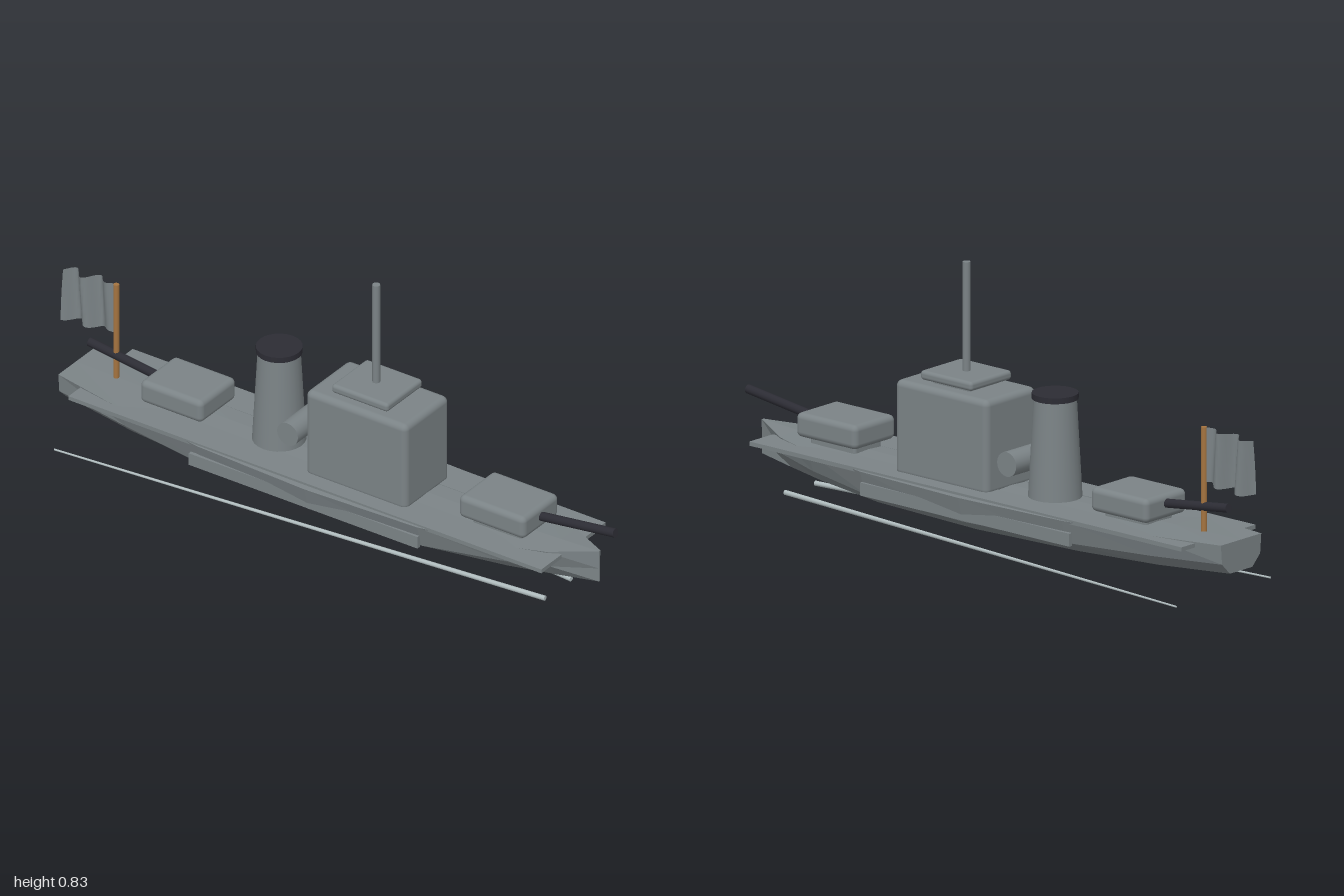
import * as THREE from 'three';
import { RoundedBoxGeometry } from 'three/addons/geometries/RoundedBoxGeometry.js';

const grey = new THREE.MeshStandardMaterial({ name: 'hullGrey', color: 0x7b8386 });
const black = new THREE.MeshStandardMaterial({ name: 'gunBlack', color: 0x2c2c34 });
const wood = new THREE.MeshStandardMaterial({ name: 'poleWood', color: 0xa57440 });
const foam = new THREE.MeshStandardMaterial({ name: 'wakeFoam', color: 0xb0bcbe });
const cloth = new THREE.MeshStandardMaterial({ name: 'flagCloth', color: 0x7b8386, side: THREE.DoubleSide });

function add(parent, name, geometry, material, x = 0, y = 0, z = 0) {
  const mesh = new THREE.Mesh(geometry, material);
  mesh.name = name;
  mesh.position.set(x, y, z);
  parent.add(mesh);
  return mesh;
}

// Cylinder between two points, radius r0 at the start and r1 at the end
function addRod(parent, name, from, to, r0, r1, material, sides = 12) {
  const a = new THREE.Vector3(...from), b = new THREE.Vector3(...to);
  const mesh = add(parent, name, new THREE.CylinderGeometry(r1, r0, a.distanceTo(b), sides), material);
  mesh.position.copy(a).add(b).multiplyScalar(0.5);
  mesh.quaternion.setFromUnitVectors(new THREE.Vector3(0, 1, 0), b.sub(a).normalize());
  return mesh;
}

// Rounded box given by its limits
function addBlock(parent, name, [x0, x1], [y0, y1], halfZ, radius) {
  const g = new RoundedBoxGeometry(x1 - x0, y1 - y0, halfZ * 2, 3, radius);
  return add(parent, name, g, grey, (x0 + x1) / 2, (y0 + y1) / 2, 0);
}

// Faceted hull lofted from stern to bow
function hullGeometry() {
  // x, deck half width, deck edge y, deck centre y, chine half width, chine y, bottom half width, bottom y
  const stations = [
    [-0.96, 0.09, 0.185, 0.185, 0.085, 0.125, 0.05, 0.09],
    [-0.7, 0.135, 0.178, 0.182, 0.115, 0.11, 0.08, 0.075],
    [-0.4, 0.17, 0.172, 0.18, 0.15, 0.1, 0.095, 0.063],
    [0, 0.185, 0.17, 0.18, 0.165, 0.093, 0.1, 0.055],
    [0.4, 0.172, 0.172, 0.18, 0.15, 0.098, 0.09, 0.06],
    [0.65, 0.125, 0.176, 0.183, 0.1, 0.11, 0.06, 0.072],
    [0.8, 0.08, 0.182, 0.187, 0.06, 0.122, 0.03, 0.08],
    [0.94, 0.004, 0.195, 0.195, 0.003, 0.135, 0.003, 0.09],
  ];
  const rings = stations.map(([x, dw, dy, cy, cw, chy, bw, by]) => [
    [x, dy, dw], [x, chy, cw], [x, by, bw], [x, by, -bw], [x, chy, -cw], [x, dy, -dw], [x, cy, 0],
  ]);
  const n = 7, pos = [];
  for (let i = 0; i < rings.length - 1; i++) {
    for (let j = 0; j < n; j++) {
      const k = (j + 1) % n;
      const a = rings[i][j], b = rings[i][k], c = rings[i + 1][k], d = rings[i + 1][j];
      pos.push(...a, ...b, ...c, ...a, ...c, ...d);
    }
  }
  // Transom and stem caps
  const stern = rings[0], bow = rings[rings.length - 1];
  for (let j = 1; j < n - 1; j++) {
    pos.push(...stern[0], ...stern[j + 1], ...stern[j]);
    pos.push(...bow[0], ...bow[j], ...bow[j + 1]);
  }
  const g = new THREE.BufferGeometry();
  g.setAttribute('position', new THREE.Float32BufferAttribute(pos, 3));
  g.computeVertexNormals();
  return g;
}

// Turret facing dir (+1 bow, -1 stern), with a narrower base and a raised gun
function addTurret(parent, name, limits, top, dir, muzzle) {
  const turret = new THREE.Group();
  turret.name = name;
  addBlock(turret, 'turretHouse', limits, [top - 0.075, top], 0.092, 0.018);
  addBlock(turret, 'turretBase', [limits[0] + 0.03, limits[1] - 0.03], [0.165, top - 0.05], 0.06, 0.01);
  const face = dir > 0 ? limits[1] : limits[0];
  addRod(turret, 'gunBarrel', [face - dir * 0.04, 0.236, 0], muzzle, 0.014, 0.014, black);
  parent.add(turret);
}

export function createModel() {
  const ship = new THREE.Group();
  ship.name = 'gunboat';

  add(ship, 'hull', hullGeometry(), grey);

  // Paired parts along both sides
  for (const s of [1, -1]) {
    add(ship, 'sideDeck', new THREE.BoxGeometry(1.715, 0.013, 0.105), grey, -0.0125, 0.172, s * 0.1125);
    add(ship, 'fender', new THREE.BoxGeometry(0.83, 0.04, 0.012), grey, -0.015, 0.118, s * 0.165);
    addRod(ship, 'wakeLine', [0.79, 0.011, s * 0.067], [-0.89, 0.009, s * 0.21], 0.008, 0.003, foam, 8);
  }

  // Bridge, lookout platform and mast
  addBlock(ship, 'bridge', [-0.05, 0.317], [0.165, 0.46], 0.113, 0.02);
  addBlock(ship, 'platformNeck', [0.06, 0.205], [0.45, 0.48], 0.066, 0.005);
  addBlock(ship, 'platform', [0.03, 0.235], [0.47, 0.499], 0.092, 0.011);
  addRod(ship, 'mast', [0.13, 0.49, 0], [0.13, 0.835, 0], 0.012, 0.012, grey);

  // Funnel and the drum between funnel and bridge
  add(ship, 'funnel', new THREE.CylinderGeometry(0.064, 0.081, 0.31, 24), grey, -0.222, 0.335, 0);
  add(ship, 'funnelCap', new THREE.CylinderGeometry(0.07, 0.07, 0.018, 24), black, -0.222, 0.49, 0);
  addRod(ship, 'boilerDrum', [-0.12, 0.278, -0.102], [-0.12, 0.278, 0.102], 0.038, 0.038, grey, 20);

  addTurret(ship, 'bowTurret', [0.49, 0.73], 0.275, 1, [0.998, 0.277, 0]);
  addTurret(ship, 'sternTurret', [-0.666, -0.44], 0.268, -1, [-0.91, 0.272, 0]);

  // Stern flag, waving
  addRod(ship, 'flagPole', [-0.813, 0.175, 0], [-0.813, 0.505, 0], 0.009, 0.009, wood);
  const flag = new THREE.PlaneGeometry(0.182, 0.17, 24, 6);
  const p = flag.attributes.position;
  for (let i = 0; i < p.count; i++) {
    const t = 0.5 - p.getX(i) / 0.182;
    const low = 0.5 - p.getY(i) / 0.17;
    p.setZ(i, 0.022 * Math.sin(t * 13 + low) * Math.min(1, t * 3));
    p.setY(i, p.getY(i) - 0.01 * t + low * 0.004 * Math.sin(t * 13));
  }
  flag.computeVertexNormals();
  add(ship, 'flag', flag, cloth, -0.909, 0.42, 0);

  return ship;
}
